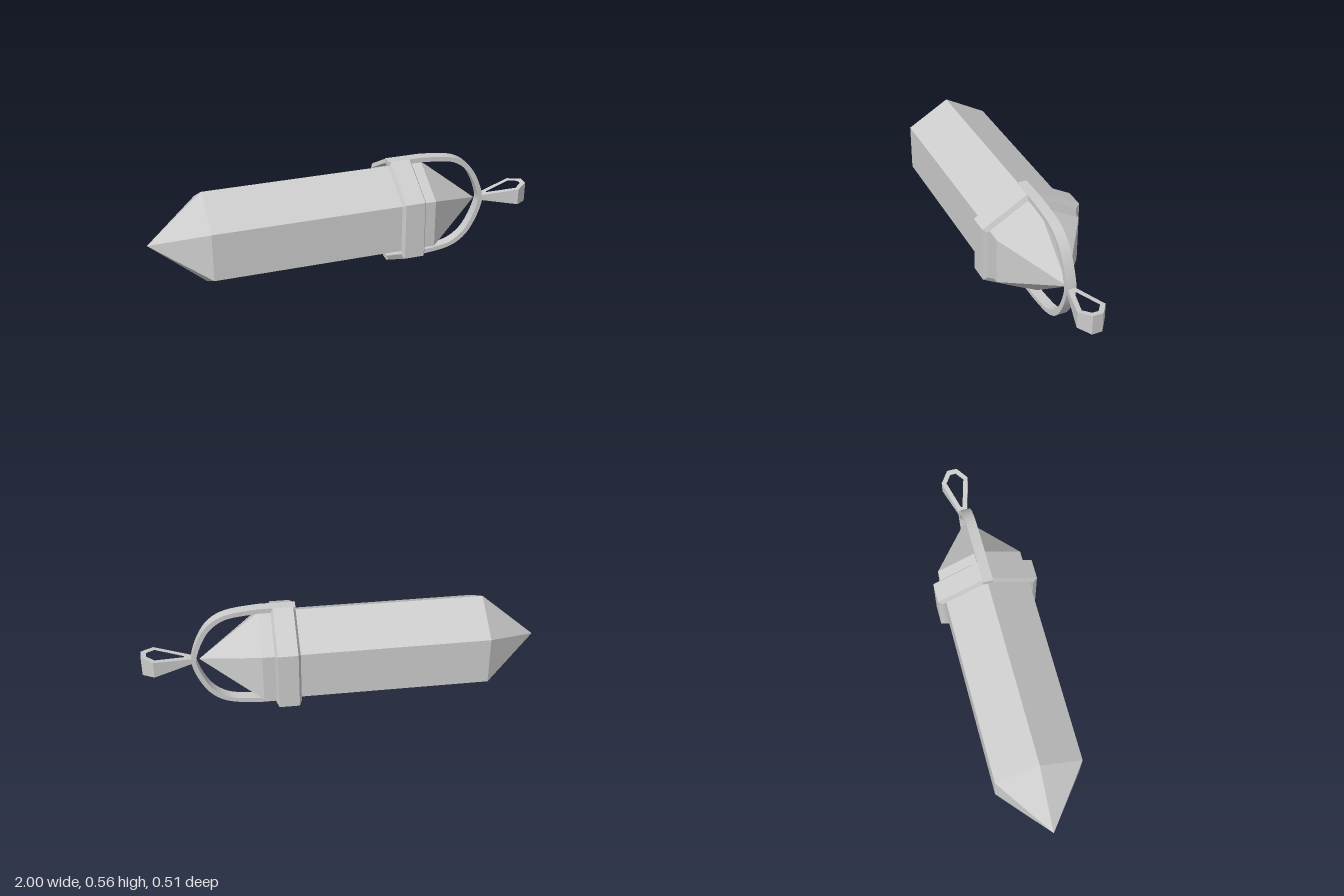
import * as THREE from 'three';
import { toCreasedNormals } from 'three/addons/utils/BufferGeometryUtils.js';

const AXIS_Y = 0.283;
const v2 = (p) => new THREE.Vector2(p[0], p[1]);
const flip = (pts) => pts.map(([a, b]) => [a, -b]).reverse();

// Ring lofted along x between an inner and an outer outline given as [z, y]
function ringGeometry(inner, outer, profile) {
  const pos = [];
  const at = (i, [x, t]) => {
    const a = inner[i % inner.length], b = outer[i % outer.length];
    return [x, a[1] + (b[1] - a[1]) * t, a[0] + (b[0] - a[0]) * t];
  };
  for (let k = 0; k < profile.length; k++) {
    const p = profile[k], q = profile[(k + 1) % profile.length];
    for (let i = 0; i < outer.length; i++) {
      const a = at(i, p), b = at(i + 1, p), c = at(i + 1, q), d = at(i, q);
      pos.push(...a, ...b, ...c, ...a, ...c, ...d);
    }
  }
  const g = new THREE.BufferGeometry();
  g.setAttribute('position', new THREE.Float32BufferAttribute(pos, 3));
  g.computeVertexNormals();
  return g;
}

// Hexagon outline with its top and bottom corners cut flat
function cutHexagon(z, y, top) {
  const half = [[0.026, top], [z, y], [z, -y], [0.026, -top]];
  return [...half, ...half.map(([a, b]) => [-a, -b])];
}

export function createModel() {
  const group = new THREE.Group();
  const flat = new THREE.MeshStandardMaterial({ color: 0xcccccc, flatShading: true });
  const smooth = new THREE.MeshStandardMaterial({ color: 0xcccccc });
  const add = (name, geometry, material) => {
    const mesh = new THREE.Mesh(geometry, material);
    mesh.name = name;
    mesh.position.y = AXIS_Y;
    group.add(mesh);
  };

  // Six-sided crystal with a point at each end
  const crystal = new THREE.LatheGeometry(
    [[0, -1], [0.25, -0.72], [0.25, 0.41], [0, 0.715]].map(v2), 6, Math.PI / 2);
  crystal.rotateZ(-Math.PI / 2);
  add('crystal', crystal, flat);

  // Bevelled band around the crystal
  add('band', ringGeometry(
    cutHexagon(0.235, 0.135, 0.256), cutHexagon(0.257, 0.149, 0.282),
    [[0.226, 0], [0.238, 1], [0.338, 1], [0.35, 0]]), flat);

  // Strap arching from the top of the band over the point to the bottom
  const curve = (pts) => new THREE.SplineCurve([...pts, ...flip(pts)].map(v2)).getPoints(48);
  const outer = curve([[0.41, 0.282], [0.54, 0.268], [0.62, 0.24], [0.68, 0.187], [0.725, 0.107], [0.752, 0.025]]);
  const inner = curve([[0.41, 0.257], [0.54, 0.243], [0.605, 0.219], [0.66, 0.171], [0.702, 0.097], [0.728, 0.02]]);
  const strapShape = new THREE.Shape([
    v2([0.226, 0.282]), ...outer, v2([0.226, -0.282]),
    v2([0.226, -0.257]), ...inner.reverse(), v2([0.226, 0.257])]);
  const strap = new THREE.ExtrudeGeometry(strapShape, { depth: 0.052, bevelEnabled: false });
  strap.translate(0, 0, -0.026);
  add('strap', toCreasedNormals(strap, 0.6), smooth);

  // Hanging loop, growing taller towards its outer end
  const side = [[0.735, 0.022], [0.76, 0.022], [0.94, 0.071], [1, 0.026]];
  const bailShape = new THREE.Shape([...side, ...flip(side)].map(v2));
  const hole = [[0.788, 0.004], [0.933, 0.046], [0.974, 0.015]];
  bailShape.holes.push(new THREE.Path([...hole, ...flip(hole)].map(v2)));
  const bail = new THREE.ExtrudeGeometry(bailShape, { depth: 1, bevelEnabled: false });
  bail.translate(0, 0, -0.5);
  bail.rotateX(-Math.PI / 2);
  const p = bail.attributes.position;
  for (let i = 0; i < p.count; i++) {
    const half = 0.014 + (0.053 - 0.014) * (p.getX(i) - 0.75) / 0.25;
    p.setY(i, p.getY(i) * 2 * half);
  }
  add('hangingLoop', toCreasedNormals(bail, 0.9), smooth);

  return group;
}
